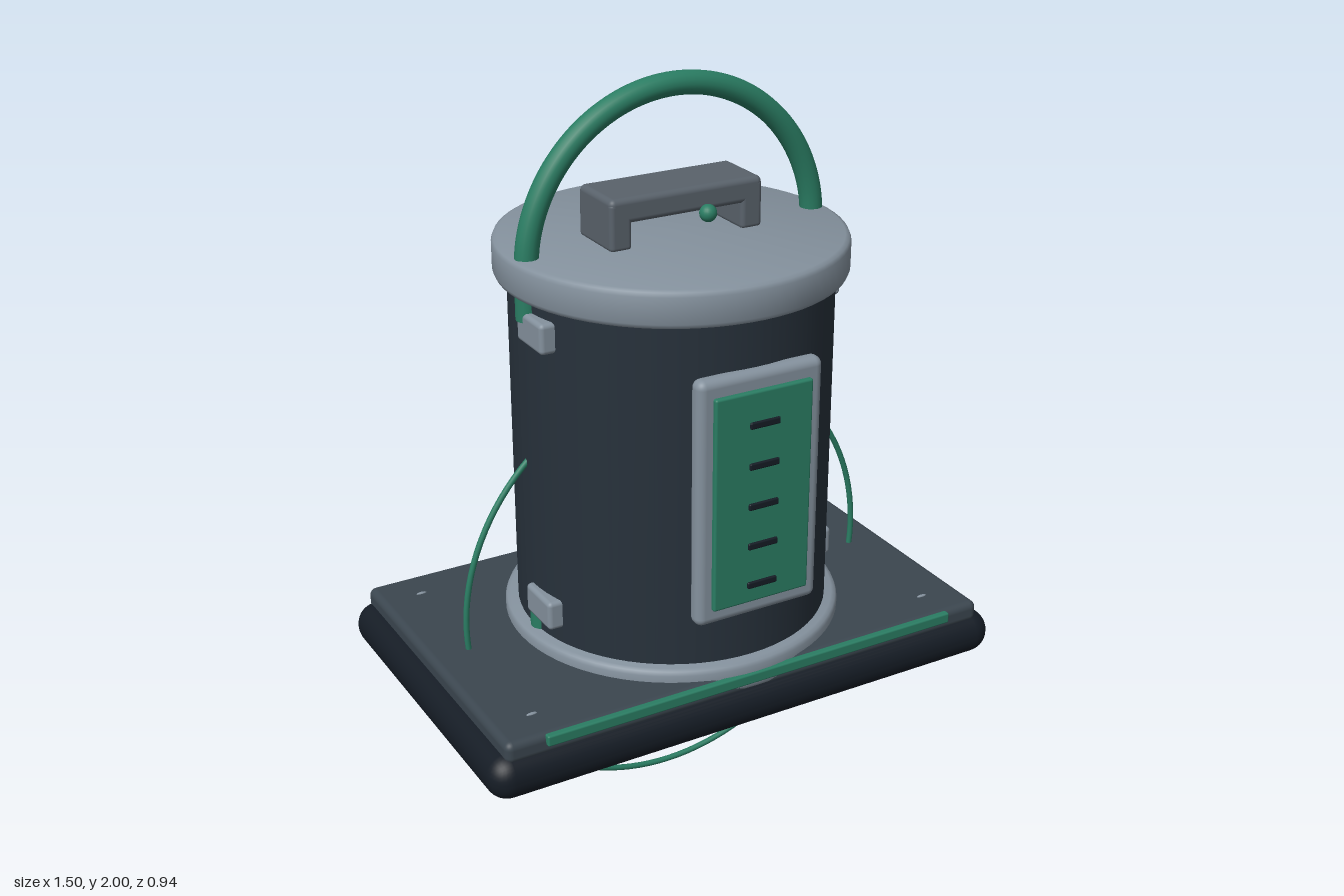
import * as THREE from 'three';
import { RoundedBoxGeometry } from 'three/addons/geometries/RoundedBoxGeometry.js';
import { toCreasedNormals } from 'three/addons/utils/BufferGeometryUtils.js';

const mat = (color) => new THREE.MeshStandardMaterial({ color });
const DARK = mat(0x27313b);
const BLACK = mat(0x151c25);
const SLATE = mat(0x3b464f);
const STEEL = mat(0x84919d);
const GREY = mat(0x59626b);
const GREEN = mat(0x2a7d63);

export function createModel() {
  const model = new THREE.Group();

  const add = (name, geometry, material, x = 0, y = 0, z = 0) => {
    const mesh = new THREE.Mesh(geometry, material);
    mesh.name = name;
    mesh.position.set(x, y, z);
    model.add(mesh);
    return mesh;
  };
  const box = (name, w, h, d, r, material, x, y, z) =>
    add(name, new RoundedBoxGeometry(w, h, d, 4, r), material, x, y, z);

  // Closed disc with a small bevel b on both rims
  const disc = (name, r, y0, y1, b, material) => {
    const profile = [[0, y0], [r - b, y0], [r - b * 0.3, y0 + b * 0.3], [r, y0 + b],
      [r, y1 - b], [r - b * 0.3, y1 - b * 0.3], [r - b, y1], [0, y1]]
      .map(([px, py]) => new THREE.Vector2(px, py));
    return add(name, toCreasedNormals(new THREE.LatheGeometry(profile, 72), 0.9), material);
  };

  // Base slab and deck plate
  box('base', 1.5, 0.12, 0.94, 0.058, BLACK, 0, 0.45, 0);
  box('deckPlate', 1.41, 0.06, 0.895, 0.02, SLATE, 0, 0.52, -0.003);
  box('frontStrip', 1.2, 0.03, 0.02, 0.005, GREEN, 0, 0.535, 0.447);
  for (const x of [-0.59, 0.59]) {
    for (const z of [-0.345, 0.345]) {
      add('deckScrew', new THREE.SphereGeometry(1, 12, 8).scale(0.015, 0.004, 0.005), STEEL, x, 0.55, z);
    }
  }

  // Drum, foot ring and lid
  add('drum', new THREE.CylinderGeometry(0.415, 0.415, 1, 72), DARK, 0, 1.02, 0);
  disc('footRing', 0.45, 0.5, 0.583, 0.015, STEEL);
  disc('lid', 0.45, 1.5, 1.597, 0.015, STEEL);

  // Lid grip and indicator bead
  box('gripBar', 0.43, 0.065, 0.17, 0.015, GREY, 0, 1.693, 0);
  for (const s of [-1, 1]) box('gripLeg', 0.06, 0.125, 0.17, 0.012, GREY, s * 0.185, 1.655, 0);
  add('bead', new THREE.SphereGeometry(0.022, 20, 14), GREEN, 0, 1.69, 0.18);

  // Front panel with slots
  box('panelFrame', 0.35, 0.66, 0.05, 0.022, STEEL, 0, 1.045, 0.416);
  box('panel', 0.274, 0.57, 0.04, 0.006, GREEN, 0, 1.045, 0.434);
  for (let i = 0; i < 5; i++) {
    box('panelSlot', 0.084, 0.018, 0.02, 0.004, BLACK, 0, 0.81 + i * 0.1085, 0.45);
  }

  // Side clips
  for (const s of [-1, 1]) {
    for (const y of [0.665, 1.425]) {
      box('sideClip', 0.055, 0.08, 0.135, 0.012, STEEL, s * 0.405, y, 0.0625);
    }
  }

  // Hoops: a half circle whose ends run straight into the clips
  const hoop = (name, r, cy, endY, dir) => {
    const pts = [new THREE.Vector3(r, endY, 0), new THREE.Vector3(r, (endY + cy) / 2, 0)];
    for (let i = 0; i <= 16; i++) {
      const a = (i / 16) * Math.PI;
      pts.push(new THREE.Vector3(r * Math.cos(a), cy + dir * r * Math.sin(a), 0));
    }
    pts.push(new THREE.Vector3(-r, (endY + cy) / 2, 0), new THREE.Vector3(-r, endY, 0));
    const path = new THREE.CatmullRomCurve3(pts);
    add(name, new THREE.TubeGeometry(path, 96, 0.03, 16), GREEN, 0, 0, 0.015);
  };
  hoop('topHoop', 0.41, 1.56, 1.44, 1);
  hoop('bottomHoop', 0.398, 0.515, 0.65, -1);

  // Thin ring passing through the drum and base
  add('thinRing', new THREE.TorusGeometry(0.6, 0.008, 10, 120), GREEN, 0, 0.608, -0.015);

  return model;
}
